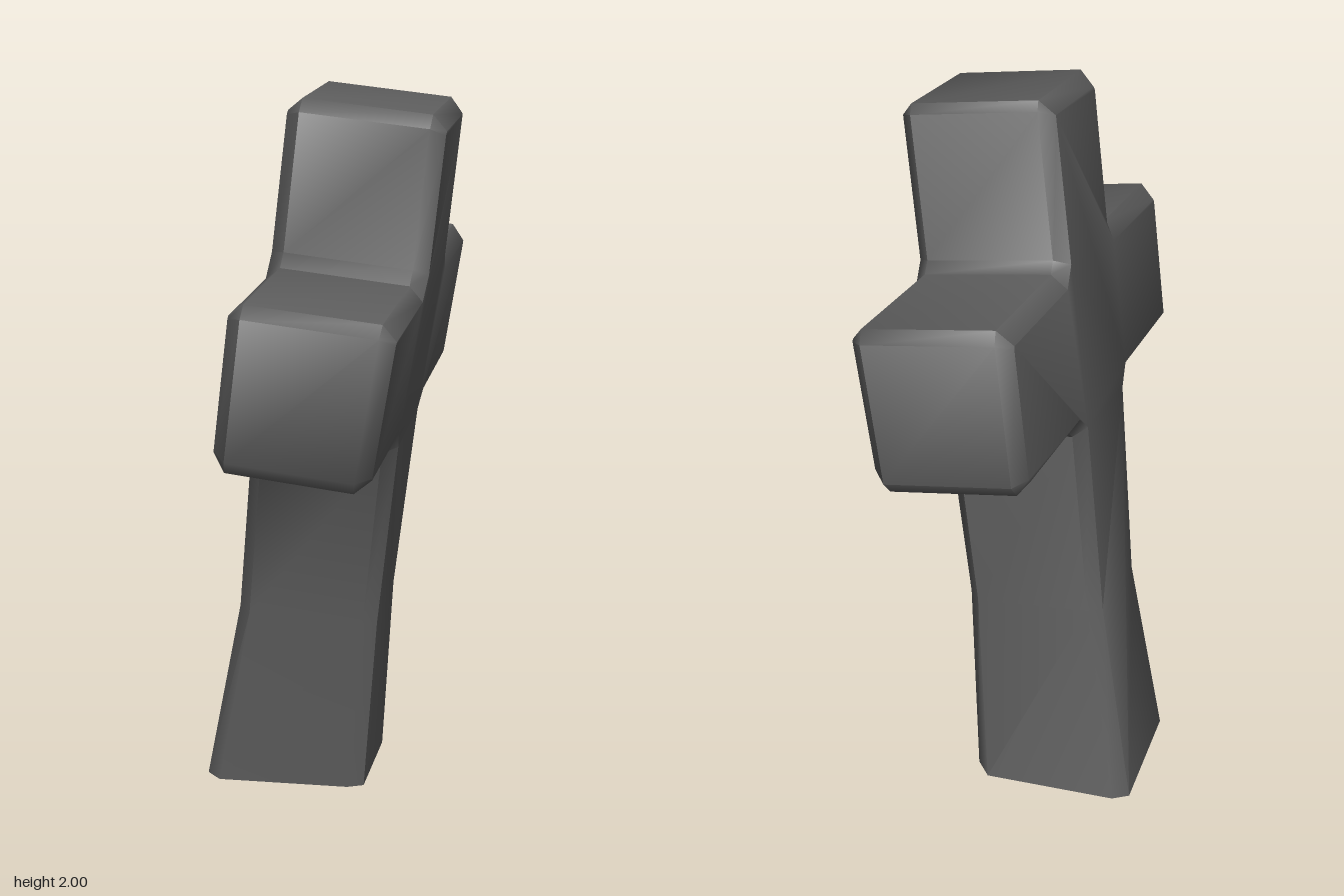
import * as THREE from 'three';
import { toCreasedNormals } from 'three/addons/utils/BufferGeometryUtils.js';

const HALF = 0.21;   // half thickness of the slab before it is warped
const BEVEL = 0.04;

// Side outline of the leaning cross: [-z, y], anticlockwise from the foot
const OUTLINE = [
  [-0.11, -0.05], [0.36, -0.05], [0.267, 0.55],              // foot and shaft
  [0.24, 1.07], [0.275, 1.1], [0.73, 1.145], [0.76, 1.18],   // rear arm
  [0.725, 1.545], [0.7, 1.578], [0.23, 1.535], [0.198, 1.562],
  [0.165, 1.955], [0.145, 1.98], [-0.255, 1.942], [-0.285, 1.905], // head
  [-0.25, 1.53], [-0.275, 1.49], [-0.735, 1.445], [-0.76, 1.41],   // front arm
  [-0.725, 1.04], [-0.7, 1.01], [-0.235, 1.05], [-0.2, 1.02],
  [-0.13, 0.5],
];

// Height, sideways centre and half thickness of the bent slab
const BEND = [
  [0, -0.13, 0.233], [0.52, -0.056, 0.2], [1.0, -0.003, 0.206],
  [1.5, 0.076, 0.218], [2.0, 0.14, 0.216],
];

function bendAt(y) {
  let i = 0;
  while (i < BEND.length - 2 && y > BEND[i + 1][0]) i++;
  const [a, b] = [BEND[i], BEND[i + 1]];
  const k = (y - a[0]) / (b[0] - a[0]);
  return [THREE.MathUtils.lerp(a[1], b[1], k), THREE.MathUtils.lerp(a[2], b[2], k)];
}

function crossGeometry() {
  const shape = new THREE.Shape(OUTLINE.map(([u, v]) => new THREE.Vector2(u, v)));
  const geometry = new THREE.ExtrudeGeometry(shape, {
    depth: 2 * (HALF - BEVEL), steps: 1, bevelEnabled: true,
    bevelSegments: 1, bevelSize: BEVEL, bevelThickness: BEVEL, bevelOffset: -BEVEL,
  });
  const p = geometry.attributes.position;
  for (let i = 0; i < p.count; i++) {
    const t = p.getZ(i) - (HALF - BEVEL);
    const y = Math.max(0, p.getY(i));              // foot cut flat on the ground
    const [centre, half] = bendAt(y);
    const onFace = Math.abs(t) > HALF - BEVEL / 2;
    // Lean sideways, tip the level edges and make the bevels slightly uneven
    p.setXYZ(
      i,
      centre + t * half / HALF,
      y - 0.125 * t * Math.min(1, y),
      -p.getX(i) + 0.02 * t + (onFace ? 0.015 * Math.sign(t) : 0),
    );
  }
  return toCreasedNormals(geometry, 0.9);
}

export function createModel() {
  const group = new THREE.Group();
  group.name = 'leaningStoneCross';

  const stone = new THREE.MeshStandardMaterial({ color: 0x5c5c5c });
  stone.name = 'dark grey stone';

  const cross = new THREE.Mesh(crossGeometry(), stone);
  cross.name = 'stoneCross';
  group.add(cross);
  return group;
}
